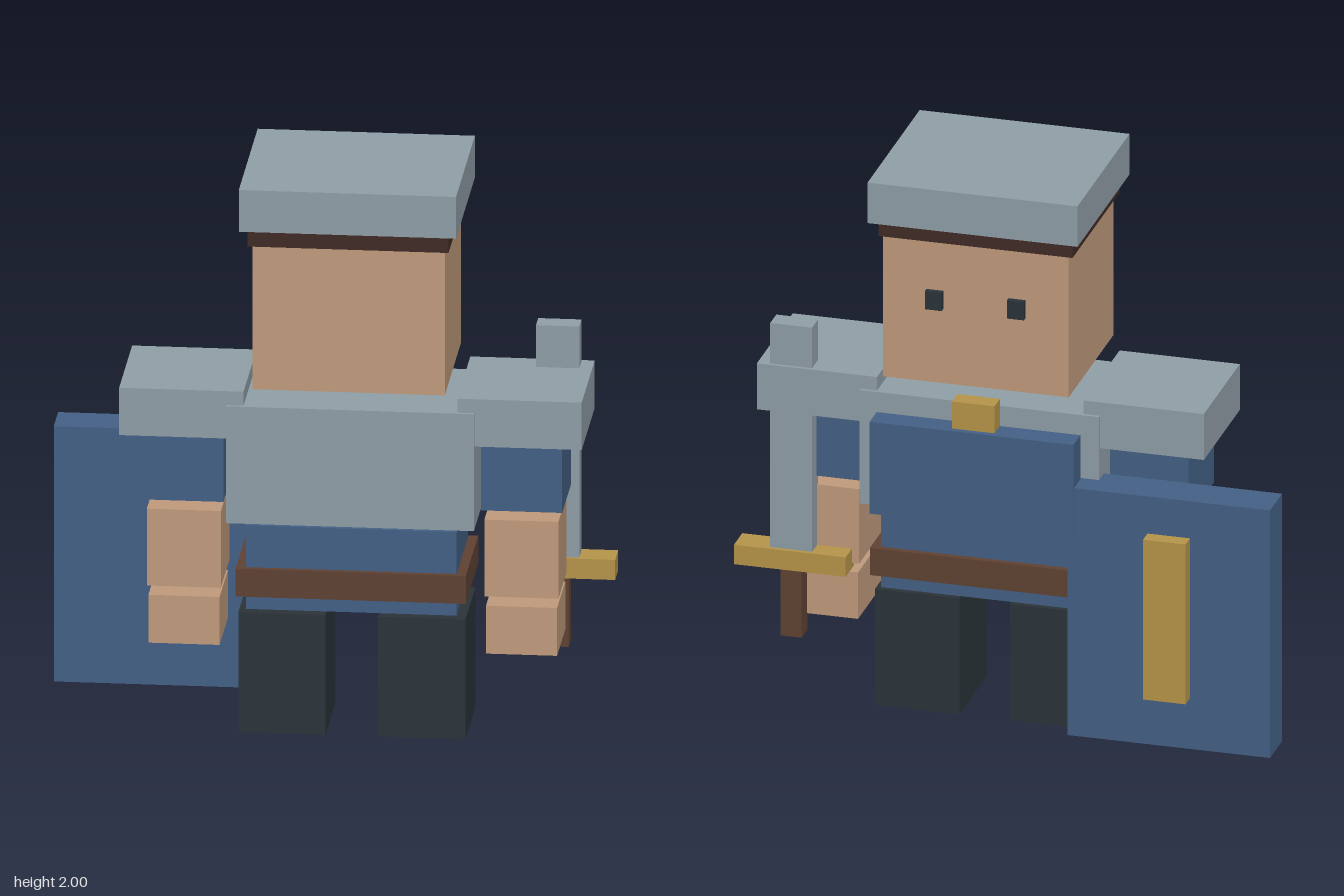
import * as THREE from 'three';

const mat = (name, color) => {
  const m = new THREE.MeshStandardMaterial({ color });
  m.name = name;
  return m;
};

export function createModel() {
  const steel = mat('steel', 0x91a0a8);
  const skin = mat('skin', 0xc29c7d);
  const blue = mat('blue cloth', 0x446186);
  const leather = mat('brown leather', 0x604233);
  const darkLeather = mat('dark leather', 0x402b26);
  const black = mat('charcoal', 0x2b343a);
  const gold = mat('gold', 0xb8964a);

  const knight = new THREE.Group();
  knight.name = 'blockKnight';

  // Box given by its extents along each axis
  const block = (name, material, [x0, x1], [y0, y1], [z0, z1], parent = knight) => {
    const mesh = new THREE.Mesh(new THREE.BoxGeometry(x1 - x0, y1 - y0, z1 - z0), material);
    mesh.position.set((x0 + x1) / 2, (y0 + y1) / 2, (z0 + z1) / 2);
    mesh.name = name;
    parent.add(mesh);
    return mesh;
  };

  // The body's own middle plane; the shield offsets it from x = 0
  const mid = 0.09;
  const centred = (half) => [mid - half, mid + half];

  // Head, facing -z
  block('head', skin, centred(0.328), [1.27, 1.79], [-0.25, 0.307]);
  block('helmetBand', darkLeather, centred(0.343), [1.79, 1.85], [-0.255, 0.33]);
  block('helmet', steel, centred(0.371), [1.85, 2], [-0.292, 0.353]);

  // Torso
  block('breastplate', steel, centred(0.423), [0.77, 1.19], [-0.207, 0.262]);
  block('tunic', blue, centred(0.36), [0.45, 0.75], [-0.165, 0.22]);
  block('belt', leather, centred(0.393), [0.5, 0.6], [-0.187, 0.24]);
  block('tabard', blue, centred(0.36), [0.78, 1.12], [-0.304, -0.217]);
  block('clasp', gold, centred(0.075), [1.1, 1.22], [-0.282, -0.215]);

  // Parts that come in mirrored pairs
  for (const [side, s] of [['left', 1], ['right', -1]]) {
    const span = (a, b) => [mid + s * a, mid + s * b].sort((p, q) => p - q);
    block(side + 'Eye', black, span(0.115, 0.175), [1.545, 1.612], [-0.27, -0.245]);
    block(side + 'ShoulderPad', steel, span(0.365, 0.79), [1.07, 1.24], [-0.195, 0.25]);
    block(side + 'UpperArm', blue, span(0.44, 0.717), [0.82, 1.08], [-0.13, 0.187]);
    block(side + 'Forearm', skin, span(0.45, 0.703), [0.507, 0.783], [-0.12, 0.175]);
    block(side + 'Hand', skin, span(0.455, 0.698), [0.3, 0.472], [-0.115, 0.17]);
    block(side + 'Leg', black, span(0.09, 0.388), [0, 0.43], [-0.14, 0.2]);
  }

  // Shield
  const shield = new THREE.Group();
  shield.name = 'shield';
  block('shieldBoard', blue, [-0.963, -0.247], [0.04, 0.957], [-0.297, -0.148], shield);
  block('shieldStripe', gold, [-0.68, -0.53], [0.228, 0.82], [-0.352, -0.297], shield);
  knight.add(shield);

  // Sword
  const sword = new THREE.Group();
  sword.name = 'sword';
  block('blade', steel, [0.688, 0.836], [0.56, 1.39], [-0.183, -0.108], sword);
  block('guard', gold, [0.565, 0.96], [0.488, 0.56], [-0.198, -0.095], sword);
  block('grip', leather, [0.725, 0.8], [0.237, 0.49], [-0.183, -0.11], sword);
  knight.add(sword);

  return knight;
}
